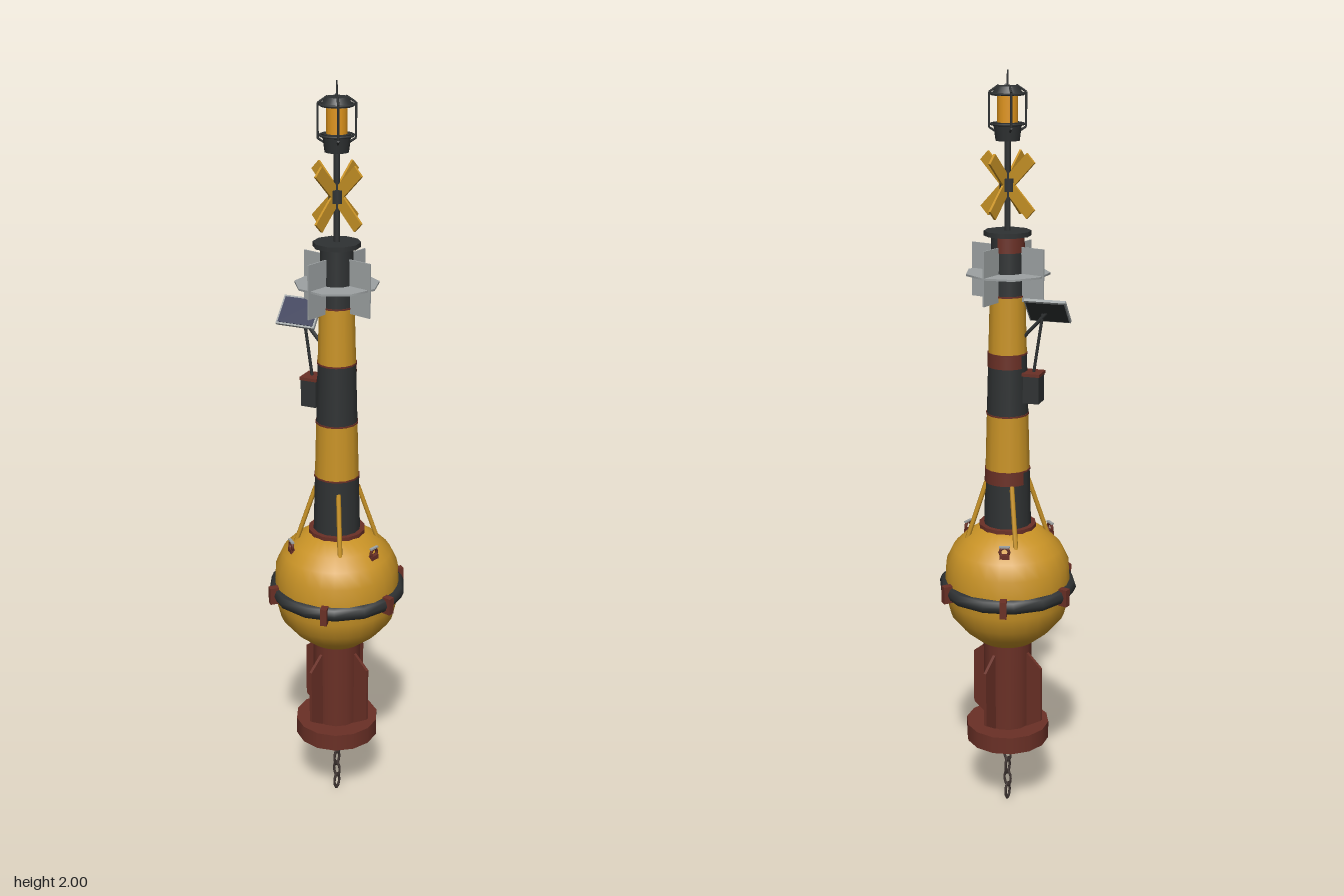
import * as THREE from 'three';

const material = (name, color) => {
  const m = new THREE.MeshStandardMaterial({ color });
  m.name = name;
  return m;
};

export function createModel() {
  const yellow = material('buoy yellow', 0xc99326);
  const black = material('weathered black', 0x2f3233);
  const rust = material('rust red', 0x6a3026);
  const steel = material('galvanised steel', 0x9da2a3);
  const solar = material('solar blue', 0x272d4e);
  const amber = material('amber lens', 0xe0951c);
  const chainMat = material('dark iron', 0x403633);
  const model = new THREE.Group();
  model.name = 'buoy';

  // Helpers
  const add = (name, geo, mat, x = 0, y = 0, z = 0, parent = model) => {
    const m = new THREE.Mesh(geo, mat);
    m.name = name;
    m.position.set(x, y, z);
    parent.add(m);
    return m;
  };
  const group = (name, yaw = 0, parent = model) => {
    const g = new THREE.Group();
    g.name = name;
    g.rotation.y = yaw;
    parent.add(g);
    return g;
  };
  const box = (w, h, d) => new THREE.BoxGeometry(w, h, d);
  const drum = (name, rTop, rBottom, y0, y1, mat, sides = 14) =>
    add(name, new THREE.CylinderGeometry(rTop, rBottom, y1 - y0, sides).rotateY(Math.PI / 2), mat, 0, (y0 + y1) / 2);
  const rod = (name, a, b, r, mat, parent = model) => {
    const p = new THREE.Vector3(...a), q = new THREE.Vector3(...b), d = q.clone().sub(p);
    const m = add(name, new THREE.CylinderGeometry(r, r, d.length(), 6), mat, 0, 0, 0, parent);
    m.position.copy(p).add(q).multiplyScalar(0.5);
    m.quaternion.setFromUnitVectors(new THREE.Vector3(0, 1, 0), d.normalize());
    return m;
  };
  const ring = (name, r, tube, y, mat, sides = 14) =>
    add(name, new THREE.TorusGeometry(r, tube, 8, sides).rotateX(Math.PI / 2), mat, 0, y);

  // Hull
  const hullProfile = [[0, 0.505], [0.078, 0.505], [0.12, 0.54], [0.153, 0.58], [0.164, 0.625], [0.168, 0.67],
    [0.164, 0.73], [0.145, 0.77], [0.115, 0.8], [0.072, 0.83], [0, 0.83]].map(p => new THREE.Vector2(...p));
  add('hull', new THREE.LatheGeometry(hullProfile, 28).rotateY(Math.PI / 2), yellow);

  // Fender with six clamps
  ring('fender', 0.164, 0.021, 0.662, black);
  for (let i = 0; i < 6; i++) {
    const g = group('fenderClamp', i * Math.PI / 3);
    add('clampPlate', box(0.025, 0.047, 0.018), rust, 0.178, 0.662, 0, g);
  }

  // Lifting eyes on the shoulder
  for (let i = 0; i < 3; i++) {
    const g = group('liftingEye', i * Math.PI * 2 / 3);
    add('eyeBase', box(0.016, 0.016, 0.026), rust, 0.125, 0.785, 0, g);
    add('eyeRing', new THREE.TorusGeometry(0.012, 0.004, 6, 10).rotateY(Math.PI / 2), rust, 0.128, 0.8, 0, g);
    add('eyePlate', box(0.008, 0.004, 0.028), steel, 0.128, 0.814, 0, g);
  }

  // Keel tube, fins and ballast
  drum('keelTube', 0.066, 0.066, 0.25, 0.51, rust);
  drum('ballast', 0.114, 0.114, 0.205, 0.253, rust);
  drum('ballastPlate', 0.058, 0.058, 0.195, 0.206, rust);
  const finShape = new THREE.Shape([[0.05, 0.252], [0.066, 0.252], [0.11, 0.28], [0.11, 0.435], [0.066, 0.472], [0.05, 0.472]]
    .map(p => new THREE.Vector2(...p)));
  for (let i = 0; i < 4; i++) {
    const geo = new THREE.ExtrudeGeometry(finShape, { depth: 0.008, bevelEnabled: false }).translate(0, 0, -0.004);
    add('keelFin', geo, rust).rotation.y = i * Math.PI / 2;
  }

  // Mooring shackle and chain
  add('shackle', new THREE.TorusGeometry(0.022, 0.006, 8, 16), chainMat, 0, 0.177, 0);
  [[0.028, 1], [0.068, 0], [0.108, 1], [0.146, 0]].forEach(([y, side]) => {
    const link = add('chainLink', new THREE.TorusGeometry(0.0105, 0.0035, 6, 12), chainMat, 0, y, 0);
    link.scale.y = 2;
    link.rotation.y = side * Math.PI / 2;
  });

  // Tapered tower in five bands
  const towerRadius = y => 0.063 - (y - 0.83) * 0.028;
  const seams = [0.83, 0.99, 1.14, 1.3, 1.45, 1.605];
  for (let i = 0; i < 5; i++) {
    const [y0, y1] = [seams[i], seams[i + 1]];
    drum('towerBand', towerRadius(y1), towerRadius(y0), y0, y1, i % 2 ? yellow : black);
    if (i) drum('seamRing', towerRadius(y0) + 0.002, towerRadius(y0) + 0.002, y0 - 0.002, y0 + 0.002, rust);
  }
  drum('towerFlange', 0.076, 0.076, 0.824, 0.838, rust);

  // Rust patches on the back of the dark bands
  const patch = (yTop, h, start, arc) => add('rustPatch', new THREE.CylinderGeometry(towerRadius(yTop) + 0.001,
    towerRadius(yTop - h) + 0.001, h, 14, 1, true, start, arc), rust, 0, yTop - h / 2);
  patch(0.99, 0.035, 2.1, 2.4);
  patch(1.3, 0.035, 2.1, 2.4);
  patch(1.6, 0.04, 3.1, 2.4);

  // Braces at the tower foot
  for (let i = 0; i < 4; i++) {
    const g = group('towerBrace', Math.PI / 4 + i * Math.PI / 2);
    rod('braceRod', [0.11, 0.795, 0], [0.056, 0.955, 0], 0.0065, yellow, g);
  }

  // Radar reflector
  add('reflectorDeck', new THREE.CylinderGeometry(0.108, 0.108, 0.005, 9).rotateY(Math.PI), steel, 0, 1.505, 0);
  add('reflectorPlate', box(0.216, 0.138, 0.004), steel, 0, 1.505, 0);
  add('reflectorPlate', box(0.004, 0.138, 0.216), steel, 0, 1.505, 0);

  // Solar panel, its arms and the battery box
  const side = group('powerUnit', -0.27);
  side.rotation.y = 0.27;
  const panel = group('solarPanel', 0, side);
  panel.position.set(-0.108, 1.416, -0.006);
  panel.rotation.x = 0.84;
  add('panelFrame', box(0.108, 0.008, 0.082), steel, 0, 0, 0, panel);
  add('panelCells', box(0.098, 0.003, 0.072), solar, 0, 0.0042, 0, panel);
  add('panelBack', box(0.1, 0.003, 0.074), black, 0, -0.0042, 0, panel);
  rod('panelArm', [-0.045, 1.345, 0], [-0.105, 1.41, -0.004], 0.005, black, side);
  rod('panelArm', [-0.07, 1.25, 0], [-0.095, 1.41, -0.004], 0.004, black, side);
  add('batteryBox', box(0.042, 0.072, 0.05), black, -0.07, 1.211, 0, side);
  add('batteryLid', box(0.047, 0.008, 0.055), rust, -0.07, 1.25, 0, side);

  // Tower cap and mast
  drum('towerCap', 0.06, 0.06, 1.6, 1.612, black, 10);
  drum('mast', 0.008, 0.008, 1.61, 1.84, black, 8);

  // Crossed topmark
  for (let i = 0; i < 2; i++) {
    const cross = group('topmark', i * Math.PI / 2);
    for (const s of [-1, 1]) {
      add('topmarkBar', box(0.194, 0.032, 0.006), yellow, 0, 1.725, 0, cross).rotation.z = s * Math.PI / 4;
    }
  }
  add('topmarkHub', new THREE.CylinderGeometry(0.02, 0.02, 0.032, 8), black, 0, 1.725, 0);

  // Lantern with cage
  drum('lanternBase', 0.036, 0.03, 1.832, 1.876, black);
  drum('lanternLens', 0.026, 0.026, 1.876, 1.942, amber);
  drum('lanternRoof', 0.028, 0.04, 1.94, 1.962, black);
  drum('lanternSpike', 0.002, 0.003, 1.96, 2, black, 6);
  ring('cageRing', 0.041, 0.003, 1.872, black, 16);
  ring('cageRing', 0.041, 0.003, 1.944, black, 16);
  for (let i = 0; i < 4; i++) {
    const g = group('cageBar', Math.PI / 4 + i * Math.PI / 2);
    rod('cagePost', [0.046, 1.865, 0], [0.046, 1.948, 0], 0.003, black, g);
    rod('cageTop', [0.046, 1.948, 0], [0.022, 1.964, 0], 0.003, black, g);
    rod('cageFoot', [0.046, 1.865, 0], [0.03, 1.855, 0], 0.003, black, g);
  }
  return model;
}
